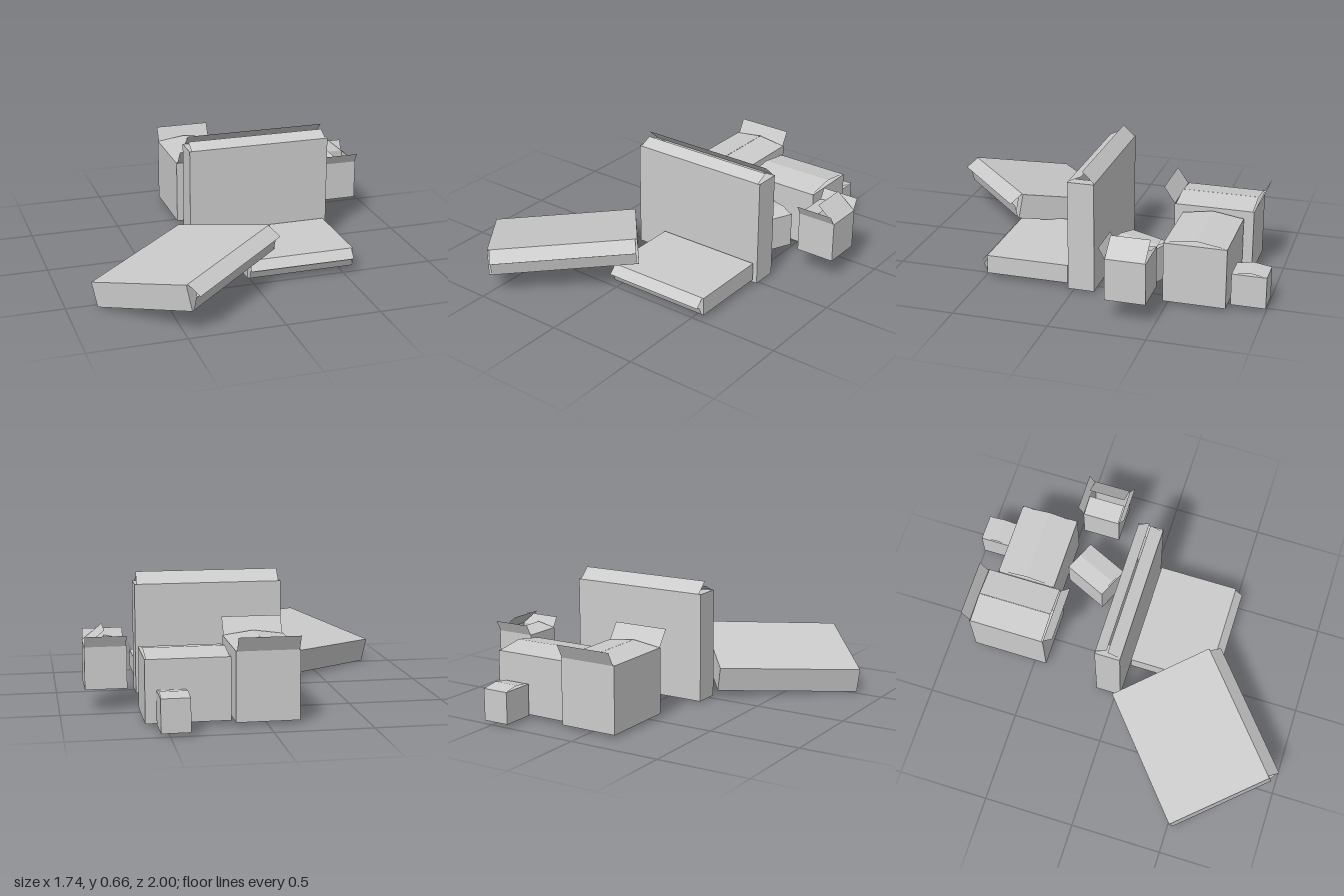
import * as THREE from 'three';

const material = new THREE.MeshStandardMaterial({ color: 0xcccccc, side: THREE.DoubleSide });
const rad = THREE.MathUtils.degToRad;

function panel(name, w, h) {
  const mesh = new THREE.Mesh(new THREE.PlaneGeometry(w, h), material);
  mesh.name = name;
  return mesh;
}

// Open carton standing on its own origin. Each flap is [length, angle]:
// 0 degrees lies closed over the opening, 90 stands up, more folds outward.
function carton(name, w, h, d, flaps) {
  const box = new THREE.Group();
  box.name = name;

  const bottom = panel('bottom', w, d);
  bottom.rotation.x = Math.PI / 2;
  box.add(bottom);

  ['front', 'left', 'back', 'right'].forEach((side, i) => {
    const [width, reach] = i % 2 ? [d, w / 2] : [w, d / 2];
    const turn = new THREE.Group();
    turn.name = side + 'Side';
    turn.rotation.y = i * Math.PI / 2;

    const wall = panel(side + 'Wall', width, h);
    wall.position.set(0, h / 2, reach);
    turn.add(wall);

    // Flap turns about the rim of its wall
    const [length, angle] = flaps[side];
    const hinge = new THREE.Group();
    hinge.name = side + 'Hinge';
    hinge.position.set(0, h, reach);
    hinge.rotation.x = rad(angle);
    const flap = panel(side + 'Flap', width * 0.97, length);
    flap.rotation.x = -Math.PI / 2;
    flap.position.z = -length / 2;
    hinge.add(flap);
    turn.add(hinge);
    box.add(turn);
  });
  return box;
}

// Wide, shallow carton with its two long flaps ajar
function flatCarton(name, w, h, d) {
  const end = [d * 0.5, -4];
  return carton(name, w, h, d, {
    front: [d * 0.55, 25], back: [d * 0.63, 43], left: end, right: end,
  });
}

// Carton closed by two flaps that meet in a low ridge along x
function closedCarton(name, w, h, d, angle) {
  const long = [d / 2 / Math.cos(rad(angle)), angle];
  const end = [d * 0.45, -2];
  return carton(name, w, h, d, { front: long, back: long, left: end, right: end });
}

export function createModel() {
  const model = new THREE.Group();
  model.name = 'cardboardBoxes';
  const place = (box, x, y, z) => {
    box.position.set(x, y, z);
    model.add(box);
    return box;
  };

  // Three flat cartons: upright, lying, and leaning
  place(flatCarton('uprightFlatBox', 0.79, 0.59, 0.14), 0.185, 0.01, -0.042);
  place(flatCarton('lyingFlatBox', 0.59, 0.445, 0.1), 0.265, 0.08, 0.037).rotation.x = Math.PI / 2;

  const across = new THREE.Vector3(0.595, 0.042, -0.51).normalize();
  const up = new THREE.Vector3(0.375, 0.127, 0.44);
  up.addScaledVector(across, -up.dot(across)).normalize();
  const under = new THREE.Vector3().crossVectors(across, up);
  place(flatCarton('leaningFlatBox', 0.785, 0.592, 0.137), -0.555, 0.09, 0.264)
    .quaternion.setFromRotationMatrix(new THREE.Matrix4().makeBasis(across, up, under));

  // Cartons with outward end flaps
  place(carton('largeOpenBox', 0.32, 0.355, 0.425, {
    front: [0.104, 125], back: [0.085, 118], left: [0.161, 8], right: [0.161, 8],
  }), 0, 0.02, -0.643);
  place(carton('raisedOpenBox', 0.215, 0.22, 0.21, {
    front: [0.062, 119], back: [0.065, 117], left: [0.133, 39], right: [0.108, 12],
  }), 0.763, 0.12, -0.357);

  // Closed cartons
  place(closedCarton('wideClosedBox', 0.425, 0.32, 0.325, 9), 0.388, 0.02, -0.643);
  place(closedCarton('smallClosedBox', 0.145, 0.17, 0.18, 9), 0.473, 0.02, -0.91);
  place(closedCarton('turnedClosedBox', 0.255, 0.19, 0.186, 8), 0.392, 0.05, -0.304)
    .rotation.y = Math.atan2(0.233, 0.106);

  return model;
}
